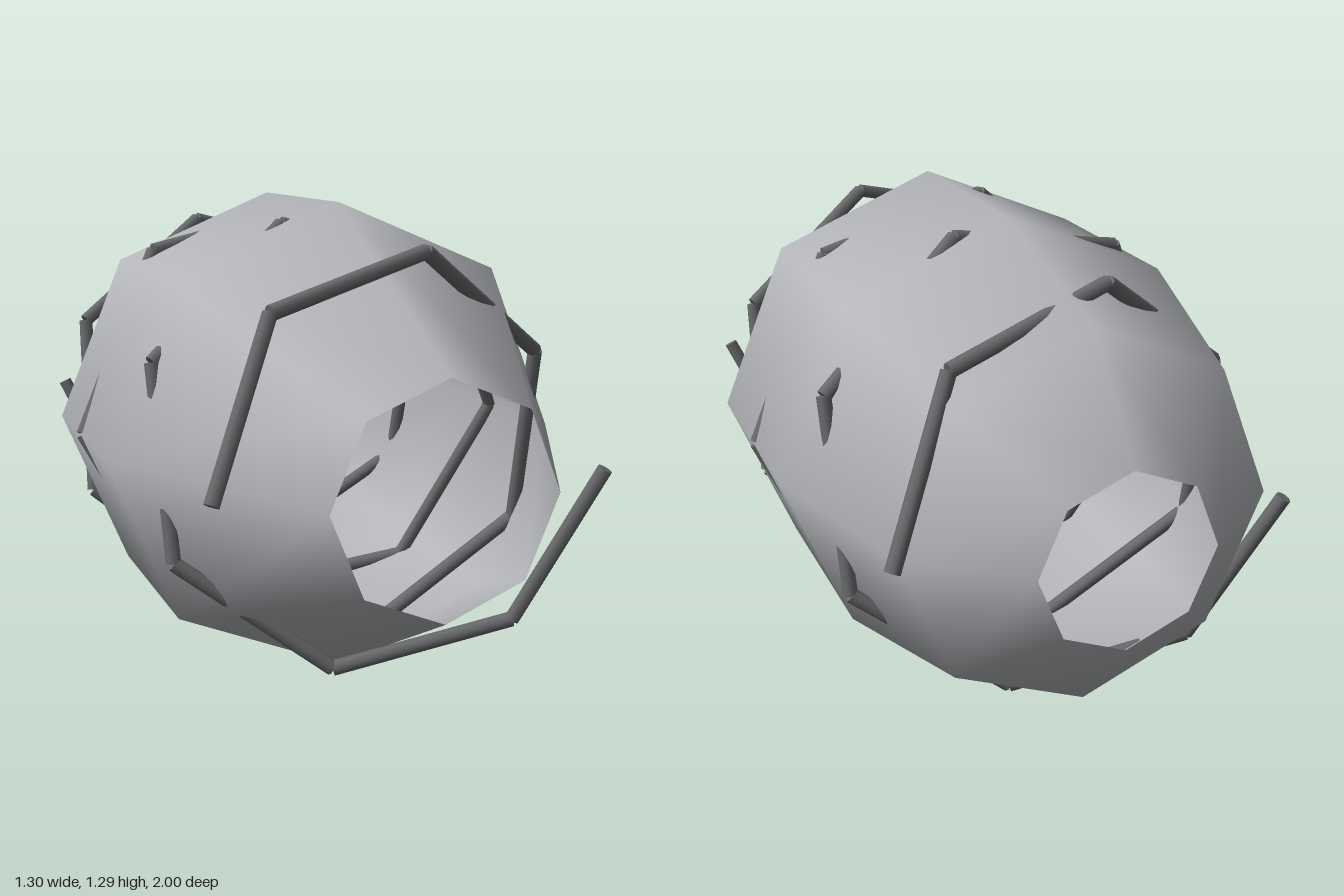
import * as THREE from 'three';

const CENTRE_Y = 0.643;

export function createModel() {
  const model = new THREE.Group();
  const shellGrey = new THREE.MeshStandardMaterial({ name: 'shell grey', color: 0xb4b6ba, side: THREE.DoubleSide });
  const rodGrey = new THREE.MeshStandardMaterial({ name: 'rod grey', color: 0x68696b });

  // Open eight-sided barrel lying along z, narrower at both mouths
  const profile = [[0.235, -1], [0.5, -0.79], [0.643, -0.27], [0.643, 0.32], [0.29, 1]]
    .map(([r, z]) => new THREE.Vector2(r, z));
  const shell = new THREE.Mesh(new THREE.LatheGeometry(profile, 8).rotateX(Math.PI / 2), shellGrey);
  shell.name = 'shell';
  shell.position.y = CENTRE_Y;
  model.add(shell);

  // Joint i of a helix: seven joints per turn, widest near the middle
  const joint = (i, phase) => {
    const a = phase - (i * Math.PI * 2) / 7;
    const r = 0.64 - Math.abs(i - 7.4) * 0.0172;
    return new THREE.Vector3(r * Math.cos(a), CENTRE_Y + r * Math.sin(a), 0.84 - 0.12 * i);
  };

  // Straight rod between two points
  const up = new THREE.Vector3(0, 1, 0);
  const addRod = (group, a, b) => {
    const dir = b.clone().sub(a);
    const rod = new THREE.Mesh(new THREE.CylinderGeometry(0.02, 0.02, dir.length(), 8), rodGrey);
    rod.name = 'helixRod';
    rod.position.copy(a).add(b).multiplyScalar(0.5);
    rod.quaternion.setFromUnitVectors(up, dir.normalize());
    group.add(rod);
  };

  // Two opposite helices of two turns each
  [['leftHelix', 0], ['rightHelix', Math.PI]].forEach(([name, phase]) => {
    const helix = new THREE.Group();
    helix.name = name;
    for (let i = 0; i < 14; i++) addRod(helix, joint(i, phase), joint(i + 1, phase));
    model.add(helix);
  });

  return model;
}
